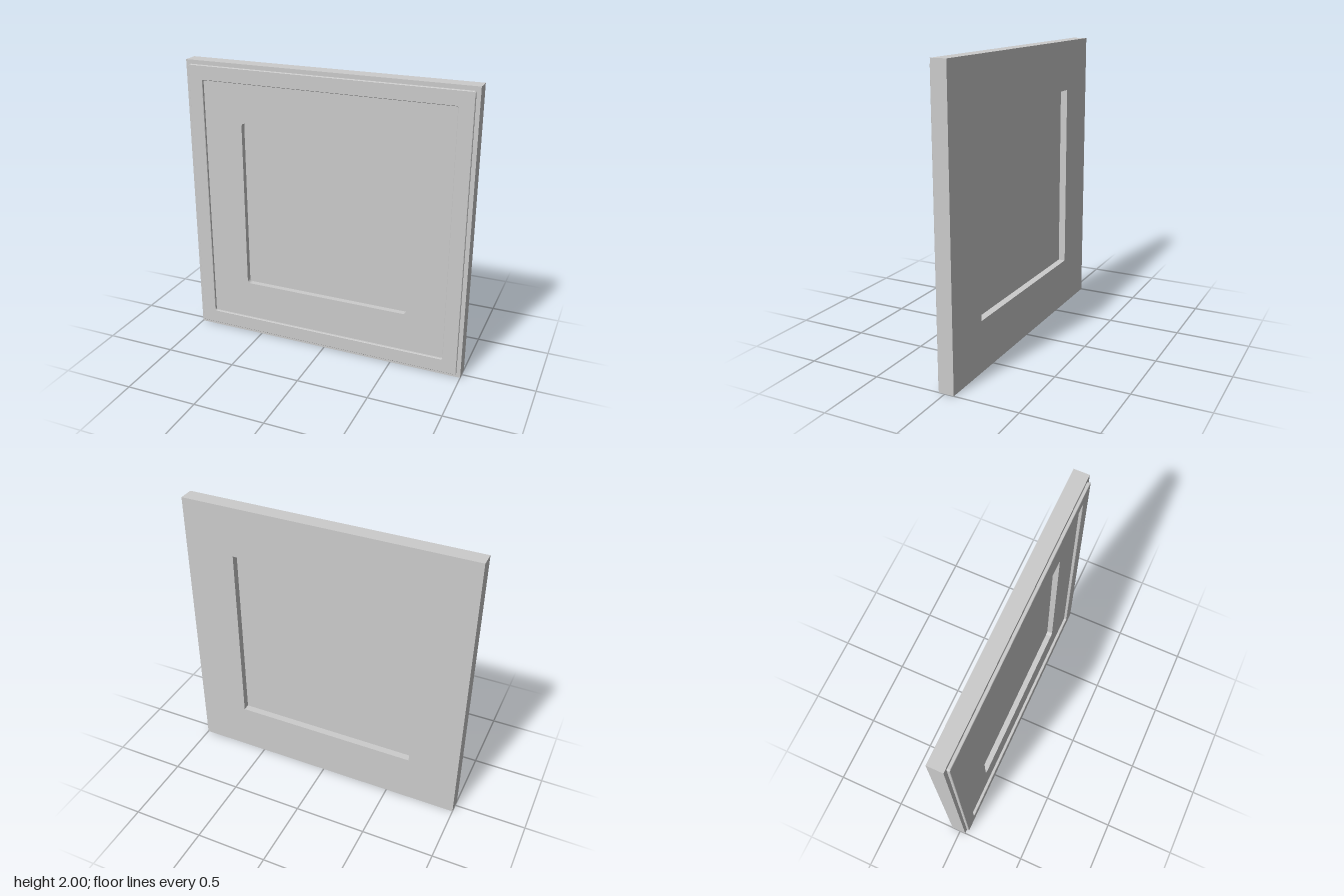
import * as THREE from 'three';

const BACK = -0.063, SEAT = 0.003, FACE = 0.042, FRONT = 0.063;

// Square outline of half-size h with corner radius r
function square(h, r, Path = THREE.Shape) {
  const p = new Path();
  if (r === 0) {
    p.moveTo(-h, -h).lineTo(h, -h).lineTo(h, h).lineTo(-h, h).closePath();
    return p;
  }
  const c = h - r;
  for (let i = 0; i < 4; i++) {
    const a = (i - 1) * Math.PI / 2;
    const sx = i === 0 || i === 1 ? 1 : -1;
    const sy = i === 1 || i === 2 ? 1 : -1;
    p.absarc(sx * c, sy * c, r, a, a + Math.PI / 2, false);
  }
  p.closePath();
  return p;
}

export function createModel() {
  const group = new THREE.Group();
  const material = new THREE.MeshStandardMaterial({ color: 0xcccccc });

  // Square slab with a square opening, between two depths
  function frame(name, outer, outerR, inner, innerR, z0, z1, bevel = 0) {
    const shape = square(outer, outerR);
    shape.holes.push(square(inner, innerR, THREE.Path));
    const geometry = new THREE.ExtrudeGeometry(shape, {
      depth: z1 - z0 - 2 * bevel,
      bevelEnabled: bevel > 0,
      bevelThickness: bevel,
      bevelSize: bevel,
      bevelOffset: -bevel,
      bevelSegments: 1,
      curveSegments: 6,
    });
    const mesh = new THREE.Mesh(geometry, material);
    mesh.name = name;
    mesh.position.set(0, 1, z0 + bevel);
    group.add(mesh);
  }

  // Back half with the square-cornered rebate, front half with the rounded opening
  frame('backFrame', 1, 0, 0.65, 0, BACK, SEAT);
  frame('frontFrame', 1, 0, 0.6, 0.025, SEAT, FACE);

  // Raised trim around the front
  frame('raisedTrim', 0.973, 0.012, 0.873, 0.012, FACE, FRONT, 0.003);

  // Panel seated in the rebate behind the front lip
  const panel = new THREE.Mesh(new THREE.BoxGeometry(1.3, 1.3, 0.017), material);
  panel.name = 'panel';
  panel.position.set(0, 1, SEAT - 0.0085);
  group.add(panel);

  return group;
}
